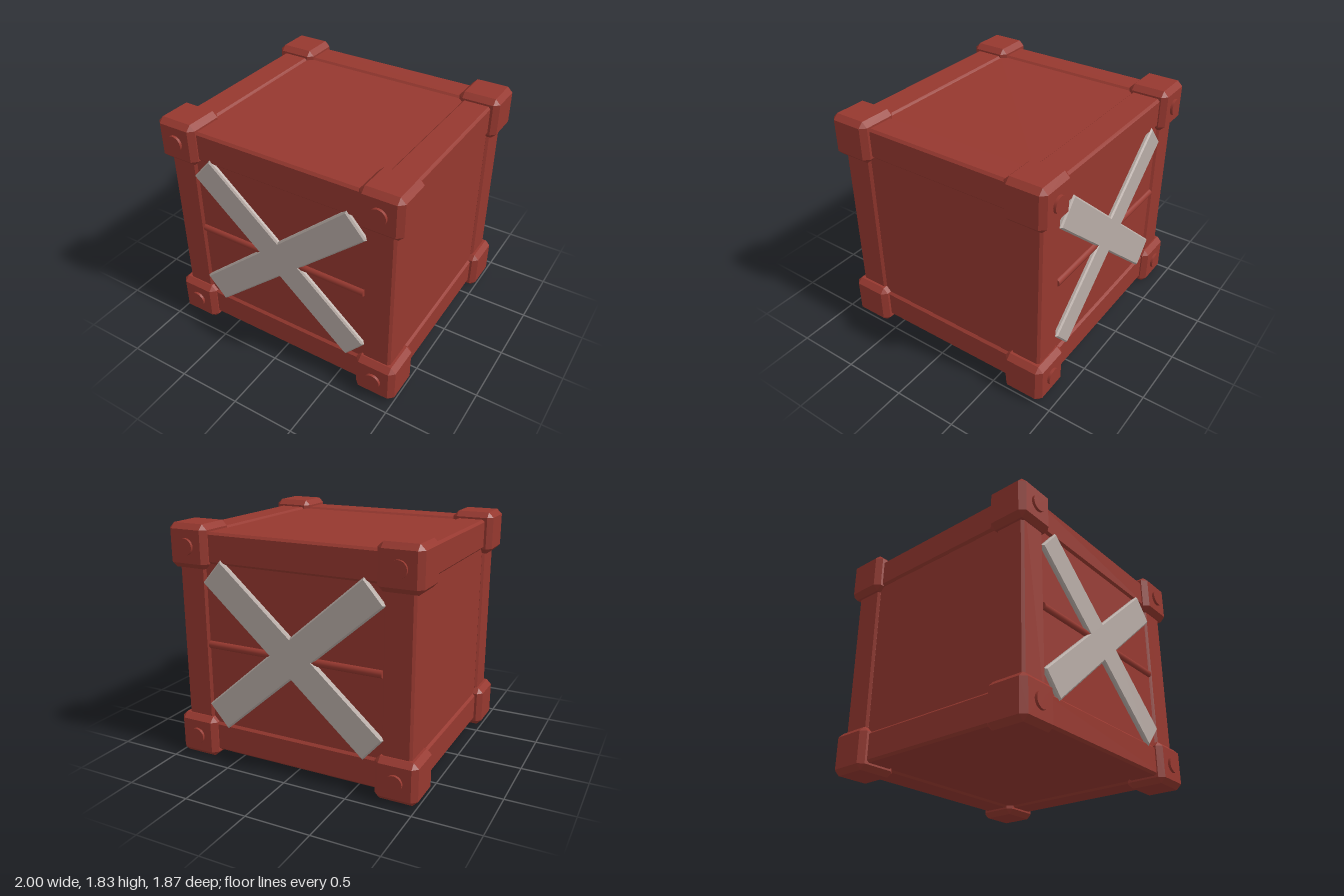
import * as THREE from 'three';
import { ConvexGeometry } from 'three/addons/geometries/ConvexGeometry.js';

const MID = 0.915; // height of the crate's centre

// Box with every edge chamfered by c
function chamferBox(w, h, d, c) {
  const points = [];
  for (const sx of [-1, 1]) for (const sy of [-1, 1]) for (const sz of [-1, 1]) {
    const x = w / 2, y = h / 2, z = d / 2;
    points.push(
      new THREE.Vector3(sx * x, sy * (y - c), sz * (z - c)),
      new THREE.Vector3(sx * (x - c), sy * y, sz * (z - c)),
      new THREE.Vector3(sx * (x - c), sy * (y - c), sz * z));
  }
  return new ConvexGeometry(points);
}

// One-piece diagonal cross outline with bevelled rim
function crossGeometry() {
  const a = THREE.MathUtils.degToRad(41.2), half = 0.12, len = 0.865, bevel = 0.012;
  const w = half - bevel, l = len - bevel;
  const c = Math.cos(a), s = Math.sin(a);
  const outline = [
    [w / s, 0],
    [l * c + w * s, l * s - w * c], [l * c - w * s, l * s + w * c],
    [0, w / c],
    [-l * c + w * s, l * s + w * c], [-l * c - w * s, l * s - w * c],
    [-w / s, 0],
    [-l * c - w * s, -l * s + w * c], [-l * c + w * s, -l * s - w * c],
    [0, -w / c],
    [l * c - w * s, -l * s - w * c], [l * c + w * s, -l * s + w * c],
  ].map(([x, y]) => new THREE.Vector2(x, y));
  return new THREE.ExtrudeGeometry(new THREE.Shape(outline), {
    depth: 0.02, bevelEnabled: true, bevelSize: bevel, bevelThickness: bevel, bevelSegments: 1,
  });
}

export function createModel() {
  const red = new THREE.MeshStandardMaterial({ color: 0x96382f });
  red.name = 'red paint';
  const grey = new THREE.MeshStandardMaterial({ color: 0xb8aca6 });
  grey.name = 'warm grey';

  const crate = new THREE.Group();
  crate.name = 'crate';
  const add = (parent, name, geometry, material, x, y, z) => {
    const mesh = new THREE.Mesh(geometry, material);
    mesh.name = name;
    mesh.position.set(x, y, z);
    parent.add(mesh);
    return mesh;
  };

  // Recessed panels
  add(crate, 'panels', new THREE.BoxGeometry(1.844, 1.69, 1.692), red, 0, MID, 0);

  // Frame beams along each axis
  const postGeo = chamferBox(0.23, 1.6, 0.24, 0.018);
  const railGeo = chamferBox(1.7, 0.235, 0.24, 0.018);
  const sideGeo = chamferBox(0.23, 0.235, 1.6, 0.018);
  for (const a of [-1, 1]) for (const b of [-1, 1]) {
    add(crate, 'cornerPost', postGeo, red, a * 0.826, MID, b * 0.744);
    add(crate, 'crossRail', railGeo, red, 0, MID + a * 0.743, b * 0.744);
    add(crate, 'sideRail', sideGeo, red, a * 0.826, MID + b * 0.743, 0);
  }

  // Corner blocks, each with a bolt on its outer face
  const blockGeo = chamferBox(0.33, 0.33, 0.326, 0.04);
  const boltGeo = new THREE.CylinderGeometry(0.063, 0.063, 0.05, 24).rotateX(Math.PI / 2);
  for (const x of [-1, 1]) for (const y of [-1, 1]) for (const z of [-1, 1]) {
    add(crate, 'cornerBlock', blockGeo, red, x * 0.835, MID + y * 0.75, z * 0.75);
    add(crate, 'bolt', boltGeo, red, x * 0.835, MID + y * 0.75, z * 0.908);
  }

  // Grey cross and bar on the front and back
  const crossGeo = crossGeometry();
  const barGeo = new THREE.CylinderGeometry(0.03, 0.03, 1.42, 12).rotateZ(Math.PI / 2);
  for (const side of ['front', 'back']) {
    const brace = new THREE.Group();
    brace.name = side + 'Brace';
    add(brace, 'cross', crossGeo, grey, 0, MID + 0.004, 0.845);
    add(brace, 'bar', barGeo, red, 0, MID + 0.004, 0.842);
    if (side === 'back') brace.rotation.y = Math.PI;
    crate.add(brace);
  }
  return crate;
}
